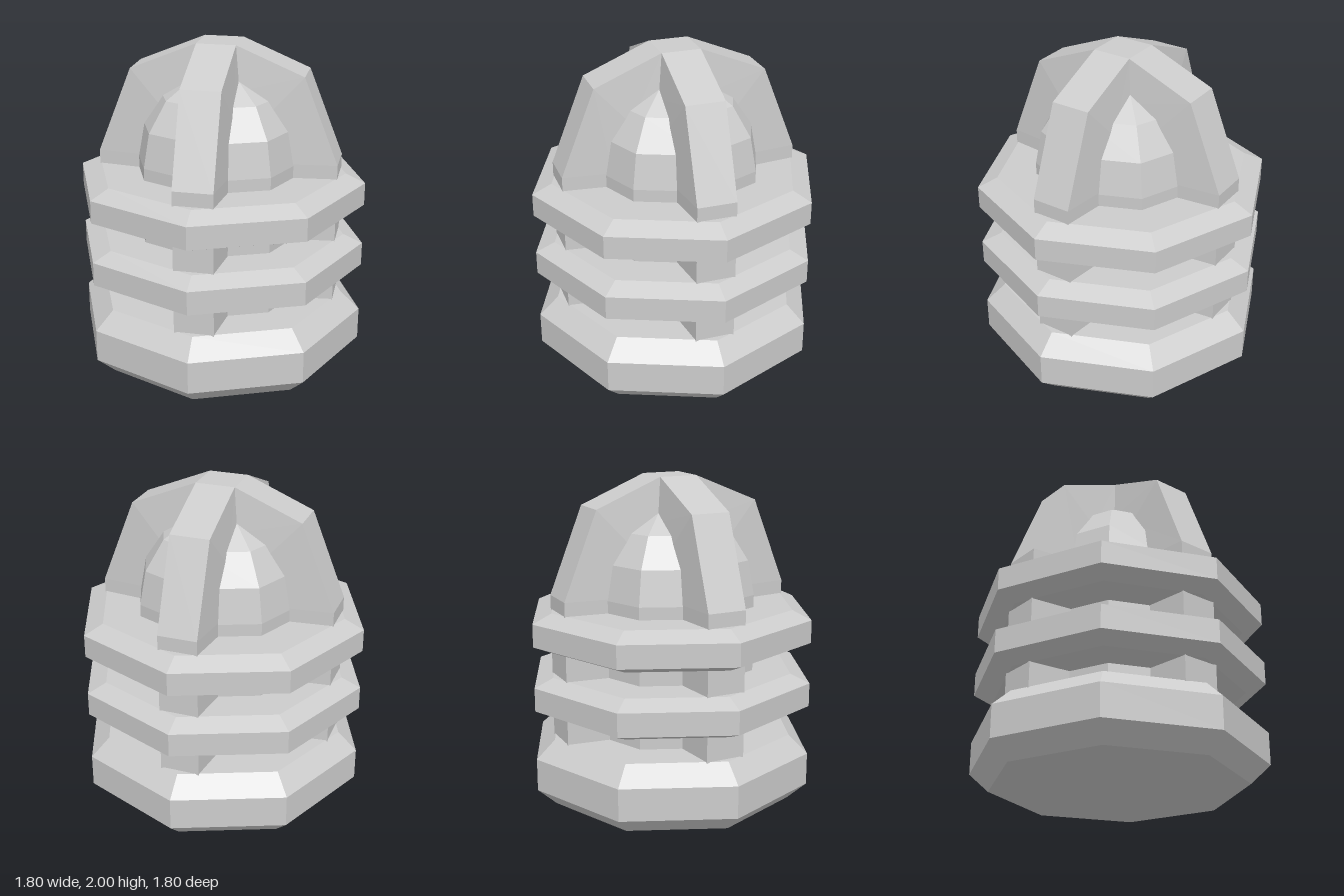
import * as THREE from 'three';

const material = new THREE.MeshStandardMaterial({ color: 0xcccccc, flatShading: true });

function addMesh(group, name, geometry) {
  const mesh = new THREE.Mesh(geometry, material);
  mesh.name = name;
  group.add(mesh);
  return mesh;
}

// Eight-sided turned part from [radius, height] pairs, bottom to top
function octagonal(profile) {
  return new THREE.LatheGeometry(profile.map(([r, y]) => new THREE.Vector2(r, y)), 8);
}

// Disc with chamfered upper and lower rims
function chamferedDisc(bottom, low, high, top) {
  return octagonal([[0, bottom], [0.78, bottom], [0.9, low], [0.9, high], [0.78, top], [0, top]]);
}

// Arched rib: narrow along its outer contour, wider where it sinks into the dome
function ribGeometry() {
  const outer = [[0.74, 0.3], [0.74, 1.3], [0.53, 1.83], [0.12, 2]];
  const inner = [[0.44, 0.3], [0.44, 1.3], [0.32, 1.6], [0.1, 1.72]];
  const mirrored = (half) => [
    ...half.map(([x, y]) => [-x, y]),
    ...half.slice().reverse(),
  ];
  const out = mirrored(outer);
  const inn = mirrored(inner);
  const positions = [];
  const indices = [];
  out.forEach(([x, y], i) => {
    const [u, v] = inn[i];
    positions.push(x, y, 0.12, x, y, -0.12, u, v, -0.152, u, v, 0.152);
    if (i === 0) return;
    const a = (i - 1) * 4;
    const b = i * 4;
    for (let k = 0; k < 4; k++) {
      const n = (k + 1) % 4;
      indices.push(a + k, b + k, b + n, a + k, b + n, a + n);
    }
  });
  const geometry = new THREE.BufferGeometry();
  geometry.setAttribute('position', new THREE.Float32BufferAttribute(positions, 3));
  geometry.setIndex(indices);
  const flat = geometry.toNonIndexed();
  flat.computeVertexNormals();
  return flat;
}

export function createModel() {
  const model = new THREE.Group();
  model.name = 'ribbedDome';

  // Base and the two collars above it
  addMesh(model, 'base', chamferedDisc(0, 0.11, 0.31, 0.42));
  addMesh(model, 'lowerCollar', chamferedDisc(0.57, 0.62, 0.765, 0.815));
  addMesh(model, 'upperCollar', chamferedDisc(0.97, 1.02, 1.16, 1.215));

  // Central core with a faceted dome
  addMesh(model, 'domeCore', octagonal([
    [0.54, 0.35], [0.54, 1.29], [0.5, 1.5], [0.38, 1.68], [0.2, 1.79], [0, 1.85],
  ]));

  // Two crossing ribs over the dome
  const rib = ribGeometry();
  addMesh(model, 'sideRib', rib);
  addMesh(model, 'frontRib', rib).rotation.y = Math.PI / 2;

  return model;
}
